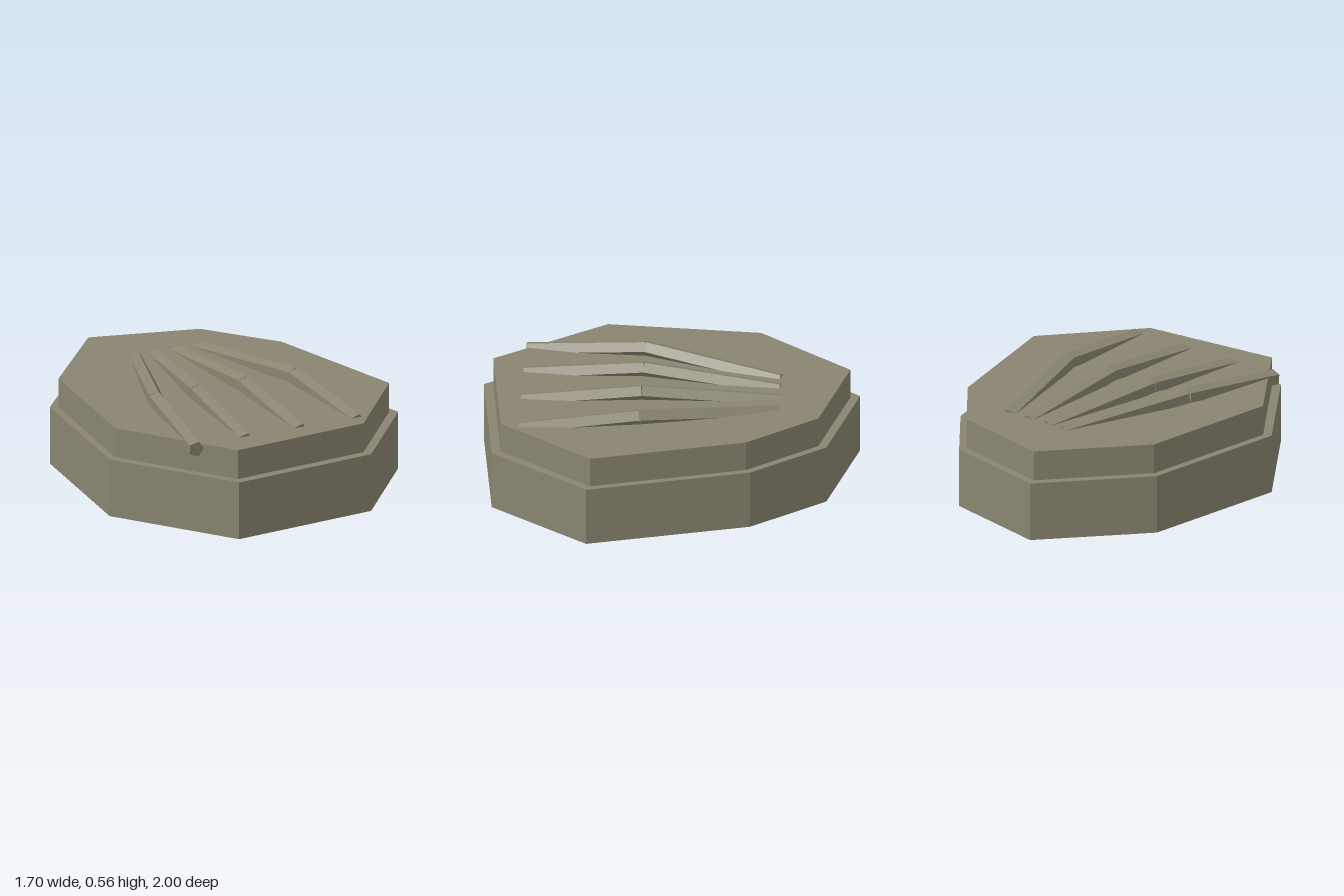
import * as THREE from 'three';

const stone = new THREE.MeshStandardMaterial({ color: 0x8a8571 });
stone.name = 'stone';

// Irregular eight-sided outline as [x, z]
const outline = [
  [-0.34, -1], [0.28, -0.85], [0.6, -0.46], [0.845, 0.4],
  [0.43, 0.92], [-0.39, 1], [-0.85, 0.38], [-0.78, -0.48],
];

function slab(name, scale, bottom, top) {
  const shape = new THREE.Shape(outline.map(([x, z]) => new THREE.Vector2(x * scale, -z * scale)));
  const geo = new THREE.ExtrudeGeometry(shape, { depth: top - bottom, bevelEnabled: false });
  geo.rotateX(-Math.PI / 2);
  const mesh = new THREE.Mesh(geo, stone);
  mesh.name = name;
  mesh.position.y = bottom;
  return mesh;
}

// Five-sided bar from a rear point to a front point
function bar(name, from, to) {
  const geo = new THREE.CylinderGeometry(0.045, 0.045, from.distanceTo(to), 5, 1, false, Math.PI / 2)
    .rotateX(Math.PI / 2).toNonIndexed();
  geo.computeVertexNormals();
  const mesh = new THREE.Mesh(geo, stone);
  mesh.name = name;
  mesh.position.copy(from).add(to).multiplyScalar(0.5);
  mesh.lookAt(to);
  return mesh;
}

export function createModel() {
  const model = new THREE.Group();
  model.name = 'ridgedStone';
  model.add(slab('baseSlab', 1, 0, 0.32), slab('topSlab', 0.949, 0.32, 0.483));

  // Four bent ridges fanning out to the front: x at rear, bend and front
  const ridges = [
    [-0.218, -0.46, -0.533],
    [-0.108, -0.215, -0.243],
    [0.022, 0.065, 0.08],
    [0.152, 0.36, 0.417],
  ];
  for (const [rear, bend, front] of ridges) {
    const a = new THREE.Vector3(rear, 0.458, -0.585);
    const b = new THREE.Vector3(bend, 0.517, 0.14);
    const c = new THREE.Vector3(front, 0.458, 0.777);
    const ridge = new THREE.Group();
    ridge.name = 'ridge';
    ridge.add(bar('rearBar', a, b), bar('frontBar', b, c));
    model.add(ridge);
  }
  return model;
}
